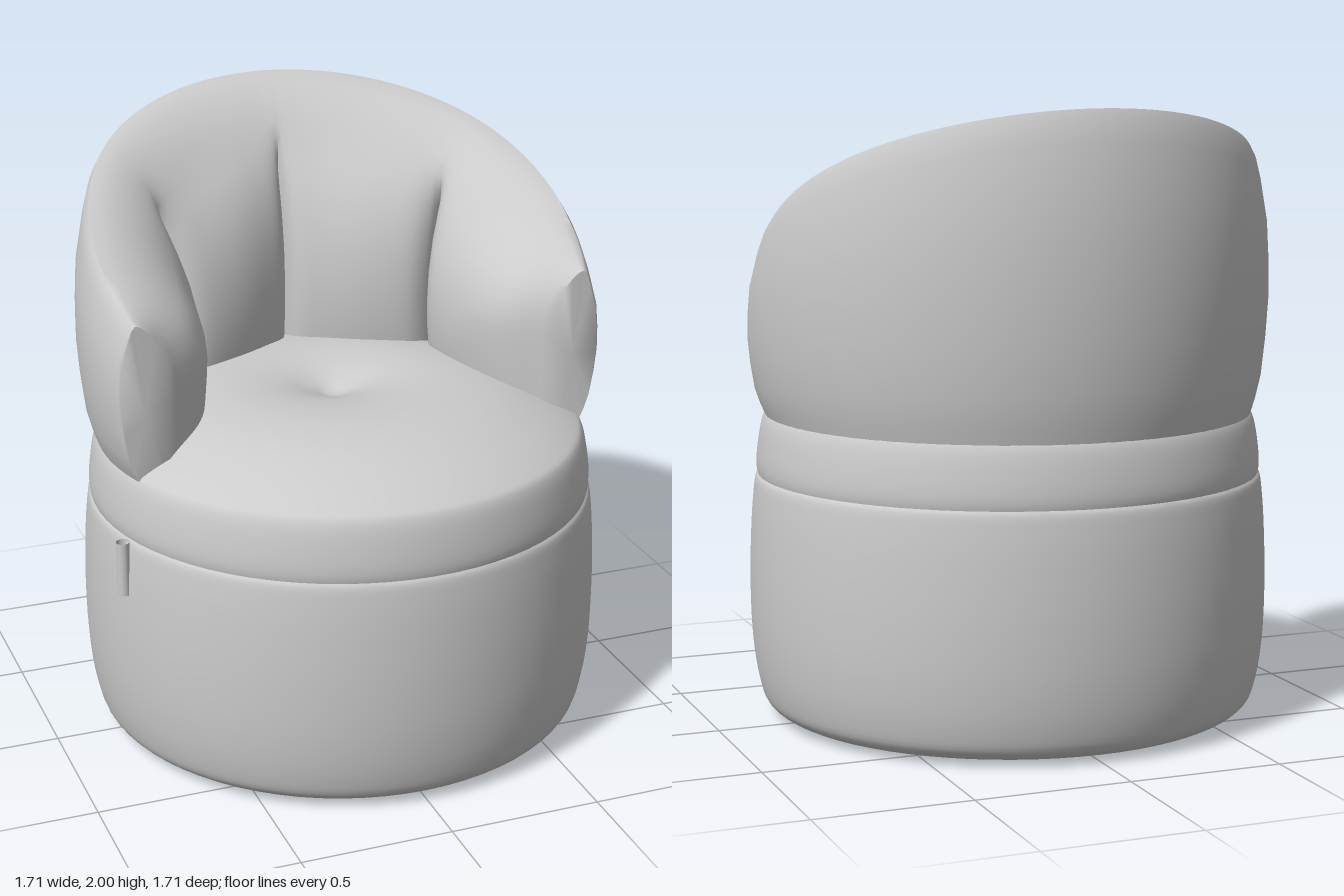
import * as THREE from 'three';
import { toCreasedNormals } from 'three/addons/utils/BufferGeometryUtils.js';

const { lerp, smoothstep } = THREE.MathUtils;
const grey = new THREE.MeshStandardMaterial({ color: 0xcccccc });
const doubleGrey = new THREE.MeshStandardMaterial({ color: 0xcccccc, side: THREE.DoubleSide });

function addMesh(group, name, geometry, material = grey) {
  const mesh = new THREE.Mesh(geometry, material);
  mesh.name = name;
  group.add(mesh);
  return mesh;
}

// Smooth lathe through a few [radius, height] points
function lathe(points, steps) {
  const curve = new THREE.SplineCurve(points.map(([r, y]) => new THREE.Vector2(r, y)));
  const profile = curve.getPoints(steps);
  profile.forEach(p => { p.x = Math.max(0, p.x); });
  return new THREE.LatheGeometry(profile, 72);
}

// Samples smooth runs between the tufting creases; knots are [x, z, angle on the outer wall]
function samplePath(knots, breaks) {
  const out = [];
  for (let b = 0; b < breaks.length - 1; b++) {
    const run = knots.slice(breaks[b], breaks[b + 1] + 1);
    const curve = new THREE.CatmullRomCurve3(
      run.map(([x, z, a]) => new THREE.Vector3(x, a, z)), false, 'catmullrom', 0.5);
    const n = (run.length - 1) * 5;
    for (let i = b ? 1 : 0; i <= n; i++) out.push(curve.getPoint(i / n));
  }
  return out;
}

// Inner face of one half: back cushion, crease, side cushion, arm end
const cushionKnots = [
  [0, -0.58, 0], [0.02, -0.47, 3], [0.1, -0.4, 14], [0.22, -0.33, 28], [0.35, -0.29, 45],
  [0.43, -0.305, 52], [0.49, -0.355, 56],
  [0.425, -0.27, 60], [0.415, -0.18, 70], [0.45, 0, 88], [0.52, 0.14, 100], [0.65, 0.245, 108.2],
];
// The same face without creases, used near the top rim
const rimKnots = [
  [0, -0.44, 0], [0.03, -0.44, 3], [0.1, -0.42, 14], [0.2, -0.38, 28], [0.32, -0.32, 45],
  [0.38, -0.285, 52], [0.4, -0.26, 56],
  [0.41, -0.23, 60], [0.42, -0.15, 70], [0.45, 0, 88], [0.52, 0.14, 100], [0.65, 0.245, 108.2],
];
// Outer wall rows [height fraction, radius]; inner rows [height fraction, reach inward, crease depth]
const outerRows = [[-0.04, 0.79], [0, 0.8], [0.06, 0.815], [0.15, 0.832], [0.3, 0.845], [0.45, 0.853],
  [0.6, 0.852], [0.75, 0.845], [0.9, 0.824], [0.97, 0.81], [1, 0.797]];
const innerRows = [[0.995, 0.1, 0], [0.975, 0.22, 0], [0.93, 0.38, 0], [0.87, 0.53, 0], [0.81, 0.64, 0.15],
  [0.75, 0.74, 0.5], [0.68, 0.83, 0.8], [0.58, 0.92, 1], [0.46, 0.98, 1], [0.34, 1, 1], [0.22, 0.99, 1],
  [0.1, 0.95, 1], [0, 0.9, 1], [-0.06, 0.88, 1]];

function backrestGeometry() {
  const cushion = samplePath(cushionKnots, [0, 6, 11]);
  const rim = samplePath(rimKnots, [0, 6, 11]);

  // One upright section through the wrap-around back
  const section = (i, side) => {
    const a = THREE.MathUtils.degToRad(cushion[i].y);
    const outer = r => [r * Math.sin(a), Math.min(0.25, -r * Math.cos(a))];
    const [ox, oz] = outer(0.8);
    const top = 1.515 + (0.25 - oz) * 0.462 + 0.03 * Math.sin(Math.PI * (0.25 - oz) / 1.05);
    const arm = smoothstep(oz, -0.25, 0.25);
    const points = outerRows.map(([t, r]) => {
      const [x, z] = outer(r);
      return [side * x, lerp(1, top, t), z];
    });
    for (const [t, reach, depth] of innerRows) {
      const ix = lerp(rim[i].x, cushion[i].x, depth);
      const iz = lerp(rim[i].z, cushion[i].z, depth);
      const h = t > 0.2 ? lerp(t, 1 - (1 - t) * 0.65, arm) : t;
      points.push([side * lerp(ox, ix, reach), lerp(1, top, h), lerp(oz, iz, reach)]);
    }
    return points;
  };

  const sections = [];
  for (let i = cushion.length - 1; i > 0; i--) sections.push(section(i, -1));
  for (let i = 0; i < cushion.length; i++) sections.push(section(i, 1));

  const n = sections[0].length;
  const positions = sections.flat(2);
  const index = [];
  for (let i = 0; i < sections.length - 1; i++) {
    for (let j = 0; j < n - 1; j++) {
      const p = i * n + j;
      index.push(p, p + 1, p + n, p + 1, p + n + 1, p + n);
    }
  }
  // Flat arm ends
  for (const first of [true, false]) {
    const start = first ? 0 : (sections.length - 1) * n;
    const centre = positions.length / 3;
    positions.push(first ? -0.73 : 0.73, 1.22, 0.248);
    for (let j = 0; j < n; j++) {
      const p = start + j, q = start + (j + 1) % n;
      index.push(centre, first ? q : p, first ? p : q);
    }
  }
  const geometry = new THREE.BufferGeometry();
  geometry.setAttribute('position', new THREE.Float32BufferAttribute(positions, 3));
  geometry.setIndex(index);
  return toCreasedNormals(geometry, 0.9);
}

export function createModel() {
  const group = new THREE.Group();
  group.name = 'tubChair';

  // Round upholstered base with a flat underside
  addMesh(group, 'base', toCreasedNormals(lathe([
    [0, 0.005], [0.4, 0.005], [0.7, 0.015], [0.795, 0.04], [0.83, 0.12], [0.85, 0.27], [0.855, 0.45],
    [0.85, 0.62], [0.841, 0.74], [0.83, 0.8], [0.8, 0.82],
  ], 50), 0.7));

  // Domed seat cushion with a tufted dimple set slightly back
  const seat = lathe([
    [0.81, 0.76], [0.829, 0.82], [0.825, 0.9], [0.806, 0.99], [0.77, 1.025], [0.67, 1.075],
    [0.54, 1.12], [0.4, 1.142], [0.28, 1.143], [0.17, 1.128], [0.08, 1.1], [0.03, 1.08], [0, 1.076],
  ], 60);
  const pos = seat.attributes.position;
  for (let i = 0; i < pos.count; i++) {
    const r = Math.hypot(pos.getX(i), pos.getZ(i));
    pos.setZ(i, pos.getZ(i) - 0.06 * (1 - smoothstep(r, 0, 0.7)));
  }
  addMesh(group, 'seatCushion', seat);

  // Wrap-around back and arms
  addMesh(group, 'backrest', backrestGeometry());

  // Small folded fabric loop on the right side
  const loop = addMesh(group, 'sideTab',
    new THREE.CylinderGeometry(0.022, 0.022, 0.18, 12, 1, true), doubleGrey);
  loop.position.set(-0.818, 0.71, 0.24);

  return group;
}
